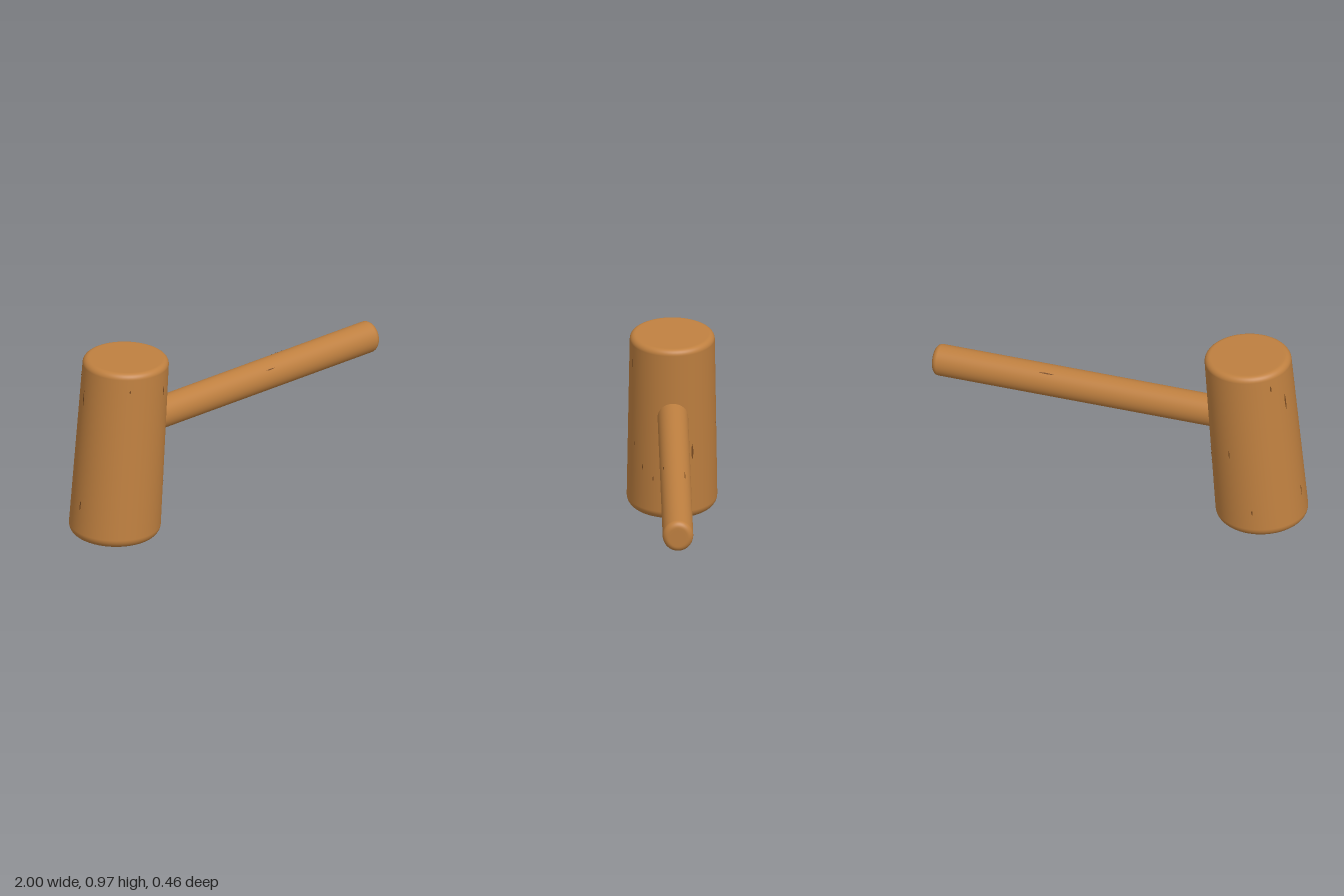
import * as THREE from 'three';

const wood = new THREE.MeshStandardMaterial({ color: 0xbf8040 });
wood.name = 'wood';
const grain = new THREE.MeshStandardMaterial({ color: 0x7a4c22, side: THREE.DoubleSide });
grain.name = 'dark grain';

// Solid round bar along +y from 0 to length, with a rounded rim at each end
function barGeometry(length, r0, r1, round0, round1) {
  const pts = [new THREE.Vector2(0, 0), new THREE.Vector2(r0 - round0 - 0.01, 0)];
  const steps = 8;
  for (let i = 0; i <= steps; i++) {
    const a = (i / steps) * Math.PI / 2;
    pts.push(new THREE.Vector2(r0 - round0 + round0 * Math.sin(a), round0 - round0 * Math.cos(a)));
  }
  for (let i = 0; i <= steps; i++) {
    const a = (i / steps) * Math.PI / 2;
    pts.push(new THREE.Vector2(r1 - round1 + round1 * Math.cos(a), length - round1 + round1 * Math.sin(a)));
  }
  pts.push(new THREE.Vector2(r1 - round1 - 0.01, length), new THREE.Vector2(0, length));
  return new THREE.LatheGeometry(pts, 64);
}

// Thin pointed fleck lying on the bar's side
function fleckGeometry(radiusAt, degrees, y, width, length) {
  const g = new THREE.PlaneGeometry(1, 1, 2, 6);
  const p = g.attributes.position;
  for (let i = 0; i < p.count; i++) {
    const v = p.getY(i);
    const h = y + v * length;
    const r = radiusAt(h) + 0.0015;
    const a = THREE.MathUtils.degToRad(degrees) - p.getX(i) * width * Math.cos(v * Math.PI) / r;
    p.setXYZ(i, r * Math.cos(a), h, r * Math.sin(a));
  }
  g.computeVertexNormals();
  return g;
}

// Place a bar: x axis and y axis directions may be slightly skewed
function frame(xAxis, yAxis, zScale, origin) {
  const m = new THREE.Matrix4().makeBasis(xAxis, yAxis, new THREE.Vector3(0, 0, zScale));
  return m.setPosition(origin);
}

function addPart(group, name, geometry, material, matrix) {
  const mesh = new THREE.Mesh(geometry.applyMatrix4(matrix), material);
  mesh.name = name;
  group.add(mesh);
}

export function createModel() {
  const model = new THREE.Group();
  model.name = 'mallet';

  // Leaning, slightly tapered head
  const L = 0.953, rBottom = 0.231, rTop = 0.217;
  const headFrame = frame(
    new THREE.Vector3(1.015, -0.045, 0),
    new THREE.Vector3(0.085, 0.9964, 0),
    0.99, new THREE.Vector3(-0.768, 0.013, 0));
  addPart(model, 'head', barGeometry(L, rBottom, rTop, 0.05, 0.03), wood, headFrame);

  // Handle, sunk into the head and running out along +x
  const handleFrame = frame(
    new THREE.Vector3(0.036, 1.04, 0),
    new THREE.Vector3(0.9994, -0.036, 0),
    -0.98, new THREE.Vector3(-0.7, 0.584, 0));
  addPart(model, 'handle', barGeometry(1.698, 0.079, 0.079, 0.02, 0.03), wood, handleFrame);

  // Grain marks on the head: angle, height, width, length
  const headRadius = (y) => rBottom + (rTop - rBottom) * (y - 0.05) / (L - 0.08);
  const marks = [
    [-26, 0.38, 0.012, 0.09], [-14, 0.29, 0.011, 0.05], [26, 0.23, 0.007, 0.03],
    [69, 0.82, 0.011, 0.05], [42, 0.28, 0.006, 0.04], [58, 0.39, 0.006, 0.02],
    [125, 0.86, 0.007, 0.02], [-162, 0.76, 0.010, 0.10], [-175, 0.20, 0.008, 0.06],
    [-140, 0.87, 0.010, 0.04], [-75, 0.48, 0.007, 0.05], [-100, 0.15, 0.008, 0.03],
  ];
  for (const [angle, y, w, len] of marks) {
    addPart(model, 'headGrainMark', fleckGeometry(headRadius, angle, y, w, len), grain, headFrame);
  }

  // Grain marks on the handle
  for (const [angle, y, w, len] of [[35, 1.08, 0.007, 0.09], [-50, 0.95, 0.006, 0.06]]) {
    addPart(model, 'handleGrainMark', fleckGeometry(() => 0.079, angle, y, w, len), grain, handleFrame);
  }

  return model;
}
